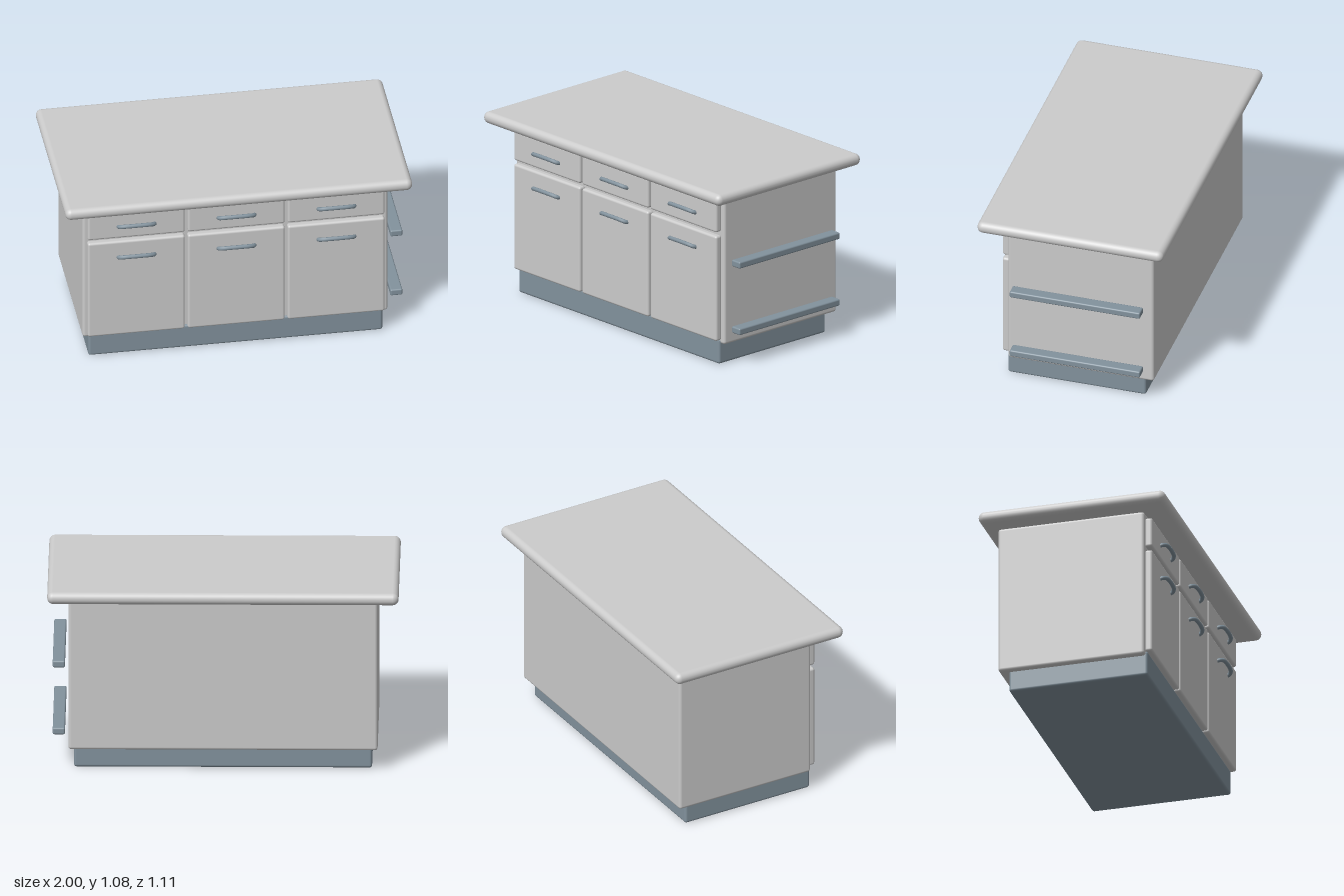
import * as THREE from 'three';
import { RoundedBoxGeometry } from 'three/addons/geometries/RoundedBoxGeometry.js';

const grey = new THREE.MeshStandardMaterial({ color: 0xcccccc });
const slate = new THREE.MeshStandardMaterial({ color: 0x82929d });

// Rounded box given by its min and max corners
function box(name, min, max, radius, material) {
  const size = max.map((v, i) => v - min[i]);
  const mesh = new THREE.Mesh(new RoundedBoxGeometry(...size, 3, radius), material);
  mesh.position.set(...max.map((v, i) => (v + min[i]) / 2));
  mesh.name = name;
  return mesh;
}

// Bowed bar pull, rising a little as it leaves the panel
function makeHandle(x, y) {
  const half = [[0.105, -0.012, 0.43], [0.1, -0.005, 0.452], [0.075, 0.003, 0.466], [0.03, 0.006, 0.471]];
  const points = [
    ...half.map(([px, py, pz]) => new THREE.Vector3(-px, py, pz)),
    ...half.slice().reverse().map(([px, py, pz]) => new THREE.Vector3(px, py, pz)),
  ];
  const handle = new THREE.Mesh(
    new THREE.TubeGeometry(new THREE.CatmullRomCurve3(points), 32, 0.012, 10), slate);
  handle.position.set(x, y, 0);
  handle.name = 'handle';
  return handle;
}

export function createModel() {
  const model = new THREE.Group();
  model.name = 'kitchenIsland';

  // Main volumes
  model.add(
    box('plinth', [-0.848, 0, -0.411], [0.848, 0.15, 0.411], 0.015, slate),
    box('cabinetBody', [-0.88, 0.121, -0.467], [0.88, 1.013, 0.4], 0.017, grey),
    box('countertop', [-1, 1.013, -0.553], [1, 1.083, 0.553], 0.034, grey),
  );

  // Three bays, each with a drawer over a door
  for (const x of [-0.576, 0, 0.576]) {
    const bay = new THREE.Group();
    bay.name = 'bay';
    bay.add(
      box('door', [x - 0.28, 0.145, 0.396], [x + 0.28, 0.778, 0.441], 0.014, grey),
      box('drawerFront', [x - 0.28, 0.8, 0.396], [x + 0.28, 0.979, 0.441], 0.014, grey),
      makeHandle(x, 0.682),
      makeHandle(x, 0.889),
    );
    model.add(bay);
  }

  // Side rails
  for (const y of [0.213, 0.614]) {
    model.add(box('sideRail', [0.9, y - 0.02, -0.411], [0.97, y + 0.02, 0.364], 0.009, slate));
  }
  return model;
}
